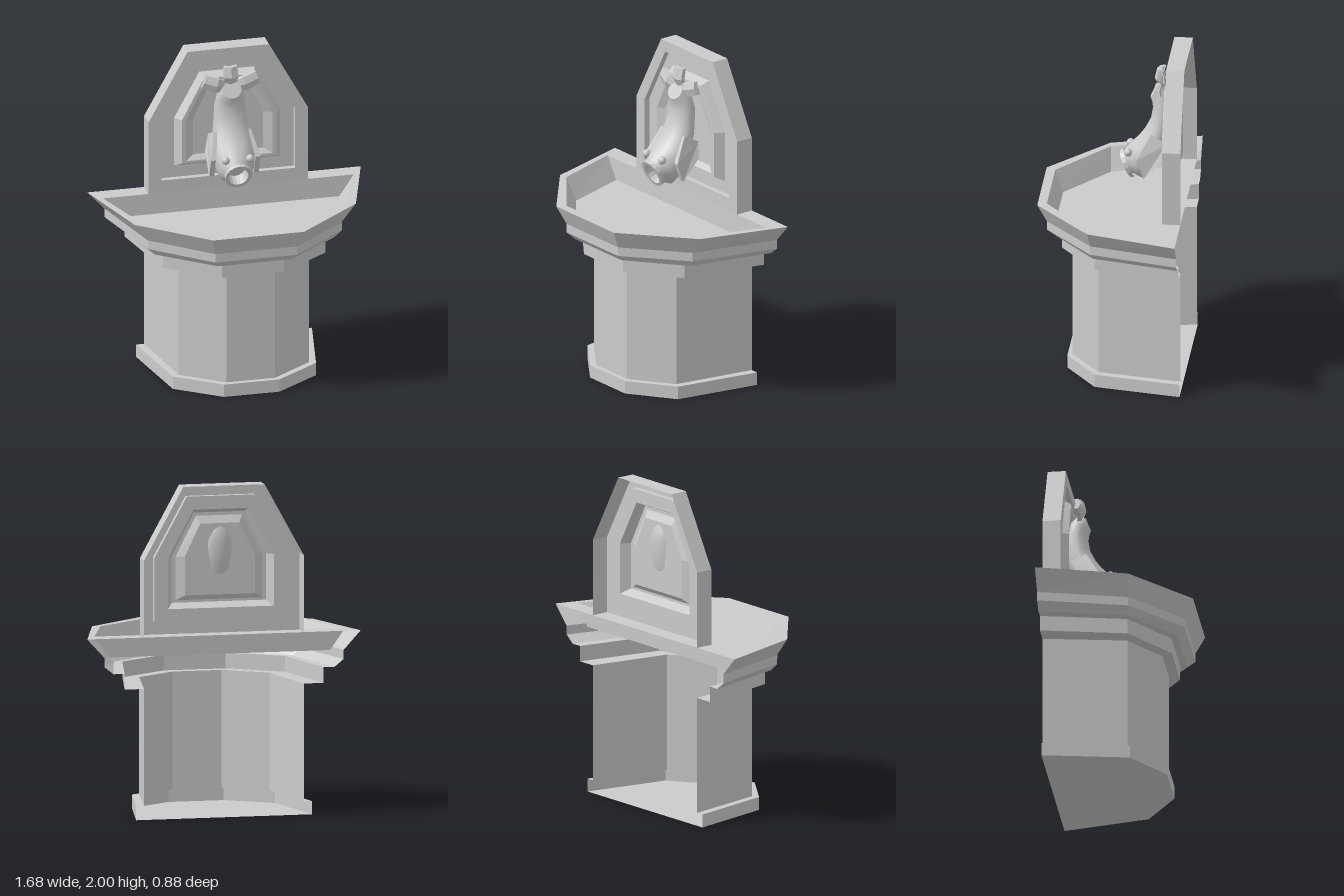
import * as THREE from 'three';

const material = new THREE.MeshStandardMaterial({ color: 0xcccccc, side: THREE.DoubleSide, flatShading: true });
const smoothMaterial = new THREE.MeshStandardMaterial({ color: 0xcccccc, side: THREE.DoubleSide });

// Joins rows of [x, y, z] points into a skin; closed rows wrap around.
function loft(rows, closed) {
  const n = rows[0].length, index = [];
  for (let r = 0; r < rows.length - 1; r++) {
    for (let i = 0; i < (closed ? n : n - 1); i++) {
      const j = (i + 1) % n, a = r * n + i, b = r * n + j;
      index.push(a, b, b + n, a, b + n, a + n);
    }
  }
  const g = new THREE.BufferGeometry();
  g.setAttribute('position', new THREE.Float32BufferAttribute(rows.flat(2), 3));
  g.setIndex(index);
  g.computeVertexNormals();
  return g;
}

function add(parent, name, geometry, mat = material) {
  const mesh = new THREE.Mesh(geometry, mat);
  mesh.name = name;
  parent.add(mesh);
  return mesh;
}

// Half-octagon row: back, side and front corners of one half, mirrored.
function bay(y, x0, z0, x1, z1, x2, z2) {
  return [[-x0, y, z0], [-x1, y, z1], [-x2, y, z2], [x2, y, z2], [x1, y, z1], [x0, y, z0]];
}

// Six-sided outline of the backboard.
function boardRow(z, w, bottom, topW, top) {
  return [[-w, bottom, z], [w, bottom, z], [w, 1.565, z], [topW, top, z], [-topW, top, z], [-w, 1.565, z]];
}

const centreRow = (p, n) => Array.from({ length: n }, () => p);

// Elliptical ring between a front and a back point in the z-y plane.
function bodyRow(zf, yf, zb, yb, w, sides = 16) {
  return Array.from({ length: sides }, (_, i) => {
    const a = (i / sides) * Math.PI * 2, t = (1 - Math.cos(a)) / 2;
    return [w * Math.sin(a), yf + (yb - yf) * t, zf + (zb - zf) * t];
  });
}

function createBasin() {
  const g = new THREE.Group();
  g.name = 'basin';
  const B = -0.44;
  const plinth = bay(0, 0.54, B, 0.44, 0.08, 0.17, 0.27);
  const rim = bay(1.1, 0.84, B, 0.68, 0.1, 0.28, 0.44);
  // Outer shell, open at the back
  add(g, 'pedestalShell', loft([
    plinth,
    bay(0.08, 0.54, B, 0.44, 0.08, 0.17, 0.27),
    bay(0.08, 0.49, B, 0.4, 0.06, 0.15, 0.24),
    bay(0.79, 0.49, B, 0.4, 0.06, 0.15, 0.24),
    bay(0.79, 0.61, B, 0.5, 0.075, 0.19, 0.3),
    bay(0.885, 0.61, B, 0.5, 0.075, 0.19, 0.3),
    bay(0.885, 0.68, B, 0.55, 0.08, 0.225, 0.34),
    bay(0.93, 0.735, B, 0.595, 0.09, 0.25, 0.385),
    bay(0.985, 0.735, B, 0.595, 0.09, 0.25, 0.385),
    rim,
  ], false));
  add(g, 'pedestalFloor', loft([plinth, centreRow([0, 0, -0.2], 6)], true));

  // Flat rim with the bowl opening cut out
  const lip = bay(1.1, 0.77, -0.33, 0.63, 0.09, 0.25, 0.385);
  const flat = row => row.map(p => new THREE.Vector2(p[0], -p[2]));
  const shape = new THREE.Shape(flat(rim));
  shape.holes.push(new THREE.Path(flat(lip)));
  add(g, 'rim', new THREE.ShapeGeometry(shape).rotateX(-Math.PI / 2).translate(0, 1.1, 0));

  // Sloped bowl walls and floor
  const floor = bay(0.97, 0.68, -0.325, 0.55, 0.08, 0.22, 0.335);
  add(g, 'bowl', loft([lip, floor, centreRow([0, 0.97, -0.05], 6)], true));
  return g;
}

function createBackboard() {
  // Sunken field with a raised moulding, hollow behind
  const rows = [
    boardRow(-0.44, 0.49, 1.1, 0.25, 2),
    boardRow(-0.33, 0.49, 1.1, 0.25, 2),
    boardRow(-0.33, 0.41, 1.18, 0.21, 1.93),
    boardRow(-0.365, 0.41, 1.18, 0.21, 1.93),
    boardRow(-0.365, 0.325, 1.255, 0.17, 1.85),
    boardRow(-0.31, 0.29, 1.285, 0.155, 1.825),
    boardRow(-0.31, 0.265, 1.3, 0.142, 1.805),
    boardRow(-0.335, 0.215, 1.33, 0.12, 1.76),
    centreRow([0, 1.55, -0.335], 6),
  ];
  const mesh = new THREE.Mesh(loft(rows, true), material);
  mesh.name = 'backboard';
  return mesh;
}

function createSpout() {
  const g = new THREE.Group();
  g.name = 'fishSpout';
  // Curved body from snout up to the tail stump
  const end = bodyRow(-0.212, 1.72, -0.275, 1.82, 0.06);
  add(g, 'body', loft([
    bodyRow(-0.05, 1.355, -0.118, 1.215, 0.072),
    bodyRow(-0.085, 1.4, -0.18, 1.19, 0.11),
    bodyRow(-0.14, 1.455, -0.24, 1.25, 0.132),
    bodyRow(-0.18, 1.51, -0.31, 1.38, 0.122),
    bodyRow(-0.215, 1.58, -0.345, 1.48, 0.107),
    bodyRow(-0.227, 1.65, -0.36, 1.65, 0.096),
    bodyRow(-0.222, 1.69, -0.33, 1.76, 0.082),
    end,
  ], true), smoothMaterial);
  add(g, 'tailStump', loft([end, centreRow([0, 1.77, -0.2435], 16)], true));

  // Lip ring and hollow mouth
  add(g, 'mouth', loft([
    bodyRow(-0.05, 1.365, -0.125, 1.2, 0.082),
    bodyRow(-0.028, 1.355, -0.103, 1.19, 0.082),
    bodyRow(-0.037, 1.335, -0.094, 1.21, 0.06),
    bodyRow(-0.1, 1.36, -0.16, 1.24, 0.055),
    centreRow([0, 1.3, -0.13], 16),
  ], true));

  // Eyes and gill fins on both sides
  const fin = new THREE.Shape([[-0.225, 1.51], [-0.14, 1.36], [-0.185, 1.24], [-0.3, 1.36], [-0.32, 1.46]]
    .map(p => new THREE.Vector2(...p)));
  const finGeometry = new THREE.ExtrudeGeometry(fin, { depth: 0.03, bevelEnabled: false }).rotateY(-Math.PI / 2);
  const pos = finGeometry.attributes.position;
  for (let i = 0; i < pos.count; i++) {
    const up = Math.max(0, pos.getY(i) - 1.36);
    pos.setX(i, pos.getX(i) + 0.152 - up * 0.25);
  }
  for (const s of [1, -1]) {
    const side = new THREE.Group();
    side.name = s > 0 ? 'leftSide' : 'rightSide';
    side.scale.x = s;
    add(side, 'eye', new THREE.SphereGeometry(0.025, 12, 8).translate(0.075, 1.378, -0.085), smoothMaterial);
    add(side, 'gillFin', finGeometry);
    g.add(side);
  }

  // Three folded tail lobes fanned around the stump
  const leaf = (y, z, w, fold) => [
    [-w, y, z - fold], [0, y, z], [w, y, z - fold], [w, y, z - fold - 0.025], [0, y, z - 0.03], [-w, y, z - fold - 0.025]];
  const lobe = loft([
    centreRow([0, 0.02, -0.02], 6),
    leaf(0.02, 0, 0.03, 0.01),
    leaf(0.075, 0.025, 0.045, 0.015),
    leaf(0.14, -0.005 + 0.015, 0.04, 0.015),
    centreRow([0, 0.14, -0.01], 6),
  ], true);
  for (const angle of [-1.25, 0, 1.25]) {
    const m = add(g, 'tailLobe', lobe);
    m.position.set(0, 1.765, -0.262);
    m.rotation.z = angle;
    if (angle) m.scale.y = 1.25;
  }
  return g;
}

export function createModel() {
  const model = new THREE.Group();
  model.name = 'wallFountain';
  model.add(createBasin(), createBackboard(), createSpout());
  return model;
}
